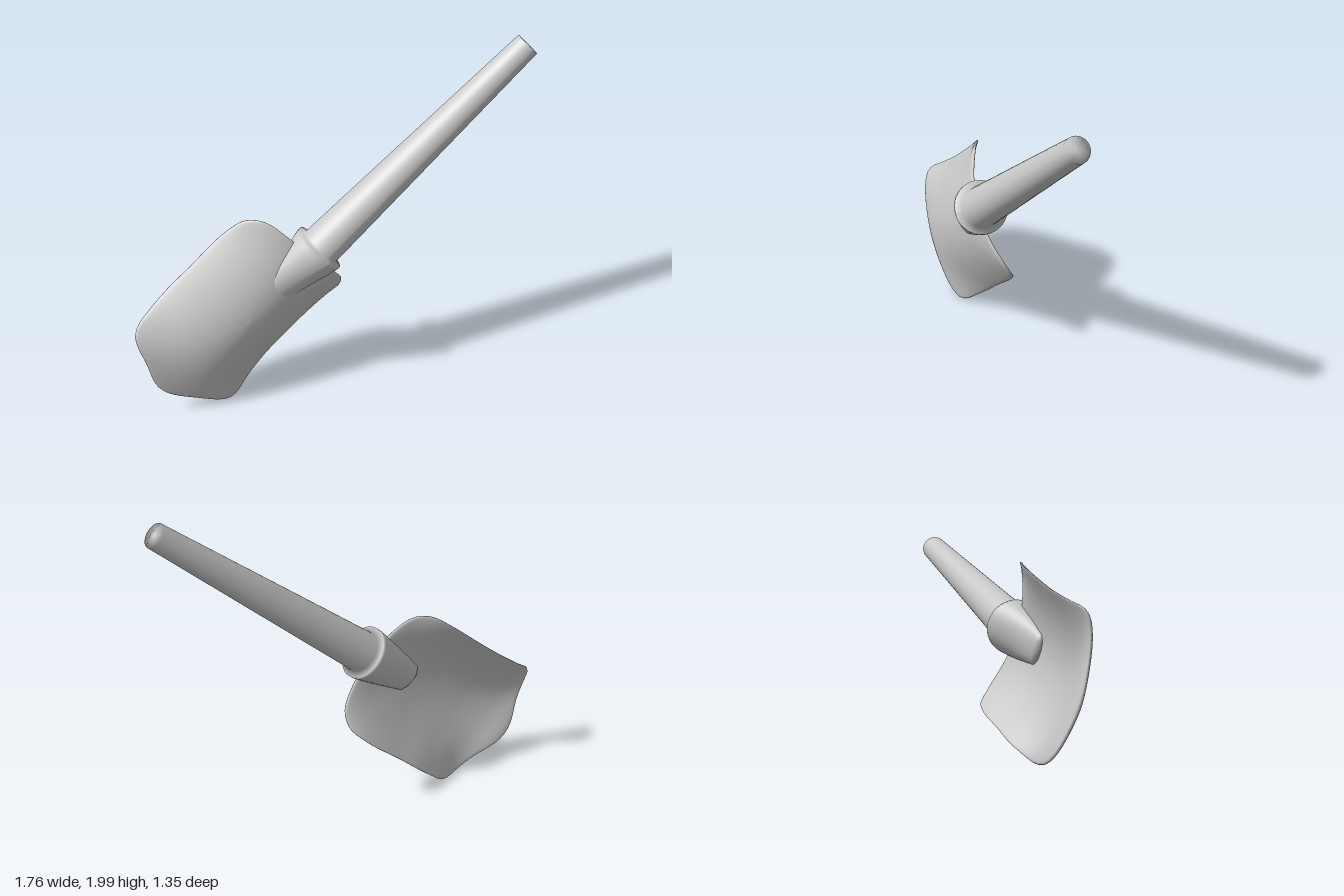
import * as THREE from 'three';

const material = new THREE.MeshStandardMaterial({ color: 0xcccccc });

function part(name, geometry) {
  const mesh = new THREE.Mesh(geometry, material);
  mesh.name = name;
  return mesh;
}

// Smooth value along the blade's length, from evenly spaced samples
function alongBlade(values) {
  const curve = new THREE.SplineCurve(values.map((v, i) => new THREE.Vector2(i, v)));
  return (y) => curve.getPoint(THREE.MathUtils.clamp((y + 0.62) / 1.12, 0, 1)).y;
}

// Curved plate: rings shrink from the outline to the middle, front then back
function bladeGeometry() {
  const half = [[0, 0.49], [0.2, 0.488], [0.31, 0.472], [0.37, 0.415], [0.387, 0.3], [0.388, 0],
    [0.396, -0.3], [0.398, -0.4], [0.375, -0.45], [0.2, -0.54], [0.07, -0.605], [0, -0.617]];
  const mirrored = half.slice(1, -1).reverse().map(([x, y]) => [-x, y]);
  const outline = new THREE.CatmullRomCurve3(
    [...half, ...mirrored].map(([x, y]) => new THREE.Vector3(x, y, 0)), true, 'centripetal');
  const ridge = alongBlade([-0.015, 0.033, 0.061, 0.073, 0.078, 0.076, 0.069, 0.05]);
  const bend = alongBlade([0.02, 0.058, 0.13, 0.17, 0.18, 0.18, 0.16, 0.1]);

  const rings = 32, segments = 96;
  const rim = outline.getSpacedPoints(segments);
  const positions = [], index = [];
  for (let i = 0; i <= rings; i++) {
    const phi = (i / rings) * Math.PI;
    const t = Math.sin(phi), c = Math.cos(phi);
    const thickness = 0.019 * Math.sign(c) * Math.sqrt(Math.abs(c));
    for (let j = 0; j < segments; j++) {
      const x = rim[j].x * t, y = rim[j].y * t;
      positions.push(x, y, ridge(y) - bend(y) * (x / 0.38) ** 2 + thickness);
      if (i === rings) continue;
      const k = (j + 1) % segments;
      const a = i * segments + j, b = a + segments;
      const d = i * segments + k, e = d + segments;
      index.push(a, e, b, a, d, e);
    }
  }
  const geometry = new THREE.BufferGeometry();
  geometry.setAttribute('position', new THREE.Float32BufferAttribute(positions, 3));
  geometry.setIndex(index);
  geometry.computeVertexNormals();
  return geometry;
}

// Handle and socket turned in one piece; the socket flattens towards its tip
function handleGeometry() {
  const profile = [[0, 0.15], [0.05, 0.155], [0.08, 0.178], [0.1, 0.27], [0.12, 0.37],
    [0.136, 0.46], [0.146, 0.535], [0.146, 0.556], [0.112, 0.565], [0.067, 2.055], [0, 2.055]];
  const geometry = new THREE.LatheGeometry(profile.map(([r, y]) => new THREE.Vector2(r, y)), 40);
  const p = geometry.attributes.position;
  for (let i = 0; i < p.count; i++) {
    const f = THREE.MathUtils.clamp((p.getY(i) - 0.15) / 0.39, 0, 1);
    p.setZ(i, p.getZ(i) * THREE.MathUtils.lerp(0.3, 1, f));
  }
  geometry.computeVertexNormals();
  return geometry;
}

export function createModel() {
  const shovel = new THREE.Group();
  shovel.name = 'shovel';

  shovel.add(part('blade', bladeGeometry()));

  const handle = part('handleWithSocket', handleGeometry());
  handle.position.z = 0.05;
  shovel.add(handle);

  // Lean the whole tool: y along the handle, z out of the blade's face
  const along = new THREE.Vector3(0.583, 0.661, -0.473).normalize();
  const face = along.clone().cross(new THREE.Vector3(-0.518, 0.75, 0.409)).normalize();
  const across = along.clone().cross(face);
  shovel.quaternion.setFromRotationMatrix(new THREE.Matrix4().makeBasis(across, along, face));
  shovel.position.set(-0.406, 0.588, 0.321);

  const model = new THREE.Group();
  model.name = 'leaningShovel';
  model.add(shovel);
  return model;
}
